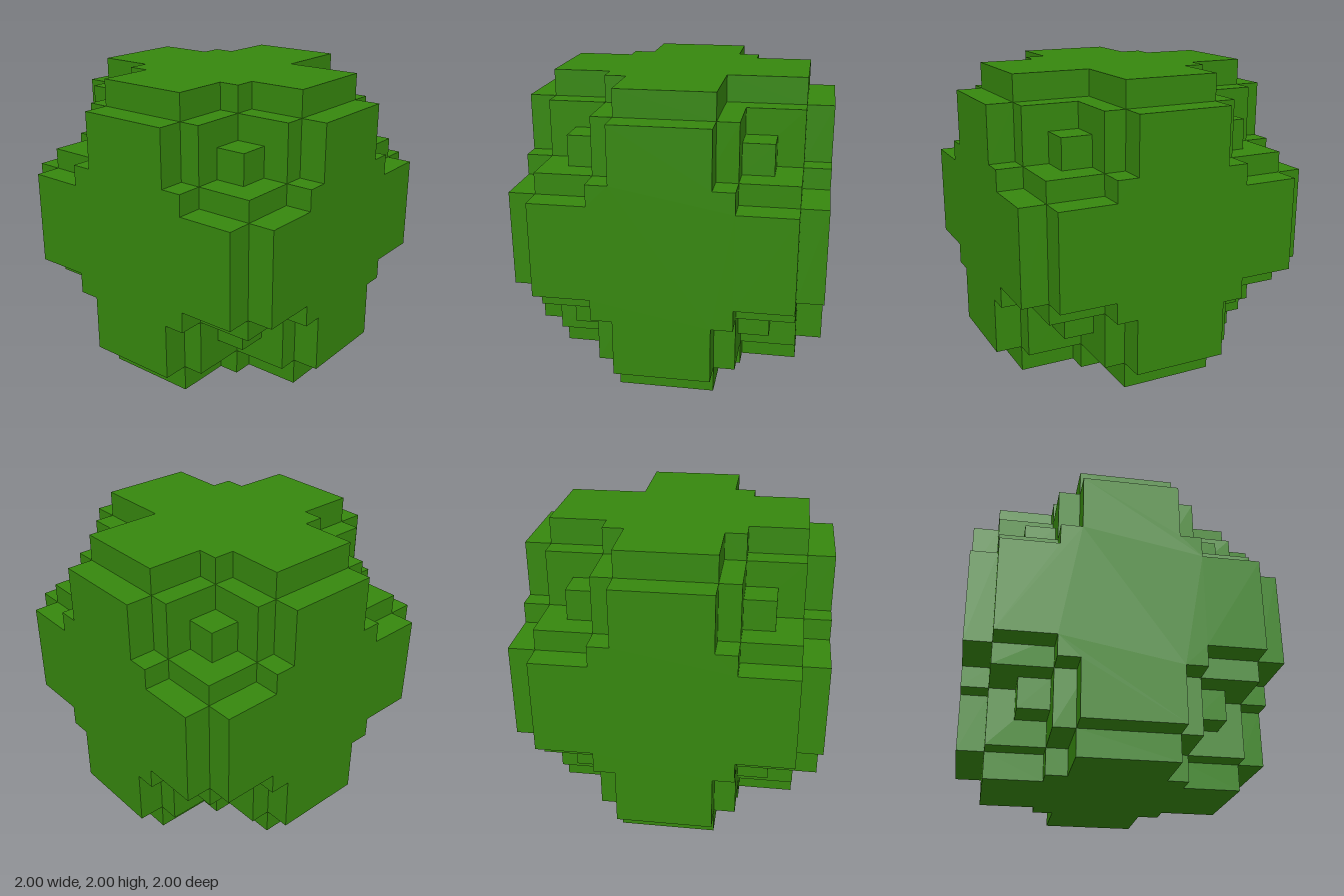
import * as THREE from 'three';

// Distances from the centre
const NARROW = 0.313, STEP = 0.452, KNOB = 0.655, CORE = 0.826, OUTER = 1;

export function createModel() {
  const model = new THREE.Group();
  model.name = 'blockyBush';
  const block = new THREE.Group();
  block.name = 'block';
  block.position.y = OUTER;
  model.add(block);

  const material = new THREE.MeshStandardMaterial({ color: 0x36870e, flatShading: true });
  const add = (name, geometry) => {
    const mesh = new THREE.Mesh(geometry, material);
    mesh.name = name;
    block.add(mesh);
    return mesh;
  };

  // Core: three crossed boxes leave a cubic notch at each of the eight corners
  for (let axis = 0; axis < 3; axis++) {
    const size = [0, 1, 2].map((i) => 2 * (i === axis ? STEP : CORE));
    add('core', new THREE.BoxGeometry(...size));
  }

  // Small cube tucked into every corner notch
  const k = KNOB - STEP, mid = (KNOB + STEP) / 2;
  for (const x of [-1, 1]) for (const y of [-1, 1]) for (const z of [-1, 1]) {
    add('cornerCube', new THREE.BoxGeometry(k, k, k)).position.set(x * mid, y * mid, z * mid);
  }

  // Cross-shaped plate; corners are stepped, optionally the first one is plain
  const stepped = [[CORE, NARROW], [STEP, NARROW], [STEP, STEP], [NARROW, STEP], [NARROW, CORE]];
  const plain = [[CORE, NARROW], [NARROW, NARROW], [NARROW, CORE]];
  const plate = (plainCorner) => {
    const points = [];
    for (let q = 0; q < 4; q++) {
      for (const [x, y] of q === 0 && plainCorner ? plain : stepped) {
        const p = new THREE.Vector2(x, y);
        for (let i = 0; i < q; i++) p.set(-p.y, p.x);
        points.push(p);
      }
    }
    const geometry = new THREE.ExtrudeGeometry(new THREE.Shape(points), {
      depth: OUTER - CORE, bevelEnabled: false,
    });
    return geometry.translate(0, 0, CORE);
  };

  // One plate on each of the six sides
  const sides = ['front', 'left', 'back', 'right'];
  sides.forEach((side, i) => add(side + 'Plate', plate(false).rotateY(i * Math.PI / 2)));
  add('topPlate', plate(true).rotateX(-Math.PI / 2));
  add('bottomPlate', plate(false).rotateX(Math.PI / 2));

  return model;
}
